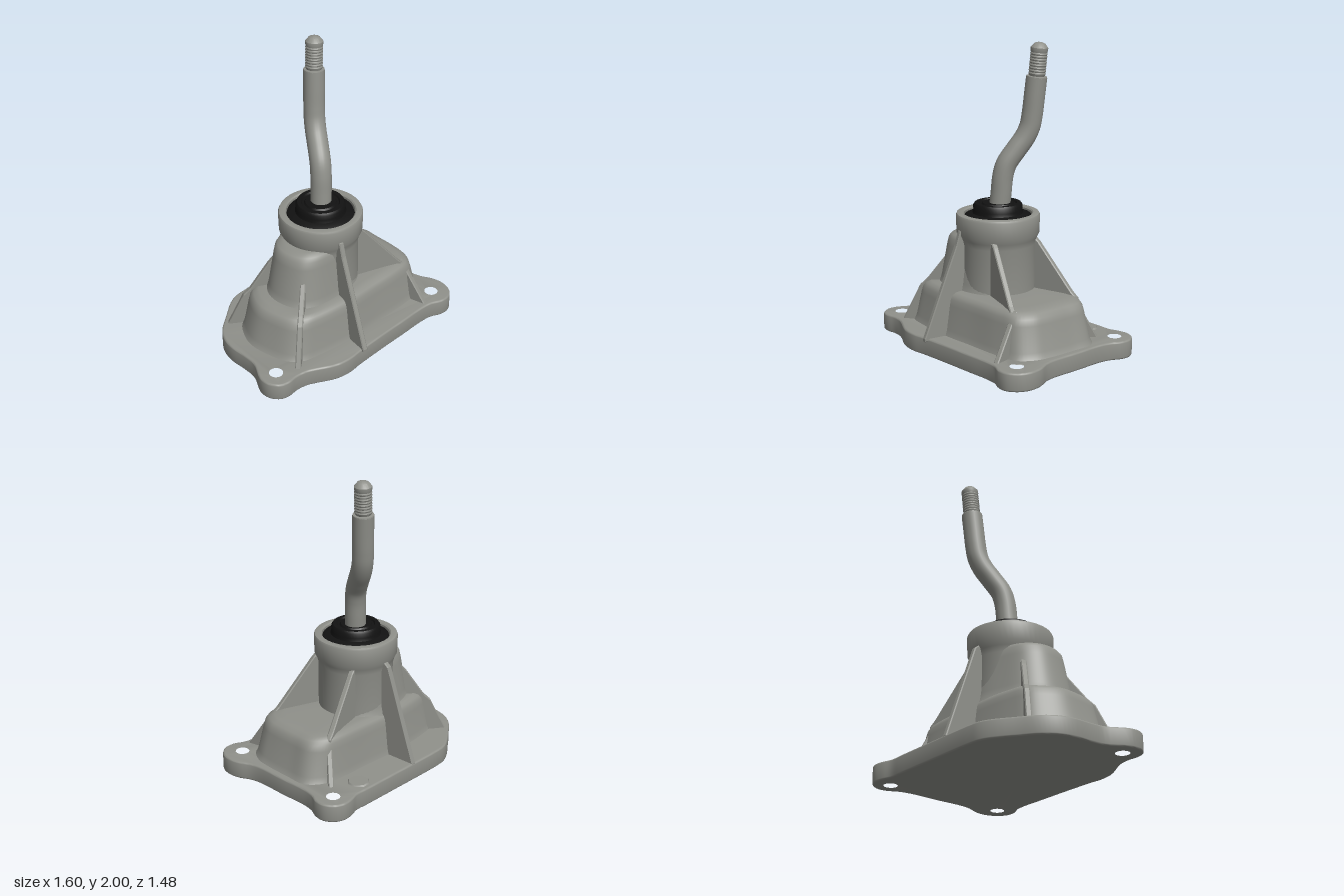
import * as THREE from 'three';
import { toCreasedNormals } from 'three/addons/utils/BufferGeometryUtils.js';

const metal = new THREE.MeshStandardMaterial({ color: 0x8f908a });
metal.name = 'grey metal';
const rubber = new THREE.MeshStandardMaterial({ color: 0x121212 });
rubber.name = 'black rubber';

const AXIS_X = -0.095, AXIS_Z = 0.05; // centre of the collar

function smoothLoop(points, samples) {
  const curve = new THREE.CatmullRomCurve3(
    points.map(([x, z]) => new THREE.Vector3(x, 0, z)), true, 'centripetal');
  return curve.getPoints(samples).slice(0, -1);
}

// Tapered solid: one outline, scaled about (cx, cz) at each [height, scale]
function loft(points, cx, cz, levels) {
  const ring = smoothLoop(points, 96), n = ring.length;
  const pos = [], index = [];
  for (const [y, s] of levels)
    for (const p of ring) pos.push(cx + (p.x - cx) * s, y, cz + (p.z - cz) * s);
  const top = (levels.length - 1) * n;
  pos.push(cx, levels[levels.length - 1][0], cz);
  for (let i = 0; i < n; i++) {
    const k = (i + 1) % n;
    for (let j = 0; j < levels.length - 1; j++) {
      const a = j * n + i, b = j * n + k;
      index.push(a, a + n, b, b, a + n, b + n);
    }
    index.push(pos.length / 3 - 1, top + k, top + i);
  }
  const g = new THREE.BufferGeometry();
  g.setAttribute('position', new THREE.Float32BufferAttribute(pos, 3));
  g.setIndex(index);
  return toCreasedNormals(g, 0.7);
}

function lathe(profile, segments = 48) {
  const g = new THREE.LatheGeometry(profile.map(([r, y]) => new THREE.Vector2(r, y)), segments);
  return toCreasedNormals(g, 0.6);
}

// Upright web from [x, z] to [x, z]; profile lists [fraction along, height]
function ribGeometry([x0, z0], [x1, z1], profile, thickness = 0.036) {
  const length = Math.hypot(x1 - x0, z1 - z0);
  const shape = new THREE.Shape();
  shape.moveTo(0, 0.1);
  shape.lineTo(length, 0.1);
  [...profile].reverse().forEach(([t, y]) => shape.lineTo(t * length, y));
  const g = new THREE.ExtrudeGeometry(shape, {
    depth: thickness - 0.012, bevelThickness: 0.006, bevelSize: 0.006, bevelOffset: -0.006, bevelSegments: 1,
  });
  g.translate(0, 0, -(thickness - 0.012) / 2);
  g.rotateY(Math.atan2(z0 - z1, x1 - x0));
  g.translate(x0, 0, z0);
  return g;
}

export function createModel() {
  const model = new THREE.Group();
  model.name = 'leverHousing';
  const add = (name, geometry, material = metal) => {
    const mesh = new THREE.Mesh(geometry, material);
    mesh.name = name;
    model.add(mesh);
    return mesh;
  };

  // Flange with three bolt ears
  const outline = [
    [-0.55, -0.29], [-0.45, -0.345], [-0.2, -0.475], [0.05, -0.605], [0.14, -0.65], [0.19, -0.7],
    [0.25, -0.738], [0.32, -0.74], [0.38, -0.705], [0.41, -0.64], [0.412, -0.57], [0.435, -0.49],
    [0.53, -0.31], [0.62, -0.13], [0.665, -0.07], [0.74, -0.01], [0.787, 0.06], [0.798, 0.14],
    [0.765, 0.215], [0.7, 0.25], [0.62, 0.255], [0.53, 0.29], [0.4, 0.36], [0.2, 0.465],
    [0, 0.575], [-0.09, 0.63], [-0.19, 0.66], [-0.38, 0.66], [-0.46, 0.685], [-0.52, 0.722],
    [-0.58, 0.735], [-0.65, 0.7], [-0.685, 0.63], [-0.685, 0.48], [-0.72, 0.39], [-0.78, 0.27],
    [-0.8, 0.17], [-0.785, 0.07], [-0.73, -0.05], [-0.66, -0.19], [-0.61, -0.25],
  ];
  const plate = new THREE.Shape(smoothLoop(outline, 160).map(p => new THREE.Vector2(p.x, -p.z)));
  for (const [x, z] of [[0.29, -0.63], [0.67, 0.125], [-0.575, 0.61]]) {
    const hole = new THREE.Path();
    hole.absarc(x, -z, 0.057, 0, Math.PI * 2, true);
    plate.holes.push(hole);
  }
  const flange = new THREE.ExtrudeGeometry(plate, {
    depth: 0.096, bevelThickness: 0.012, bevelSize: 0.012, bevelOffset: -0.012, bevelSegments: 3, curveSegments: 16,
  });
  flange.rotateX(-Math.PI / 2);
  flange.translate(0, 0.012, 0);
  add('flange', toCreasedNormals(flange, 0.6));

  // Low pad on the flange
  const pad = new THREE.CylinderGeometry(0.065, 0.075, 0.012, 8);
  pad.rotateY(0.1);
  add('flangePad', pad).position.set(0.08, 0.123, -0.51);

  // Wide lower housing
  add('lowerHousing', loft([
    [0.2, -0.43], [0.3, -0.455], [0.41, -0.42], [0.48, -0.29], [0.56, -0.12], [0.59, -0.02], [0.57, 0.1],
    [0.45, 0.19], [0.22, 0.31], [0, 0.425], [-0.25, 0.52], [-0.38, 0.55], [-0.47, 0.52], [-0.57, 0.41],
    [-0.64, 0.29], [-0.655, 0.17], [-0.63, 0.05], [-0.52, -0.05], [-0.3, -0.19], [-0.05, -0.31],
  ], -0.05, 0.03, [[0.1, 1.04], [0.125, 1.01], [0.16, 0.985], [0.32, 0.925], [0.36, 0.905],
    [0.385, 0.87], [0.4, 0.81], [0.405, 0.7]]));

  // Stepped middle housing, bulging to one side
  add('middleHousing', loft([
    [-0.05, -0.19], [0.08, -0.11], [0.14, 0.03], [0.12, 0.16], [0.05, 0.25], [-0.08, 0.33], [-0.24, 0.39],
    [-0.34, 0.38], [-0.43, 0.3], [-0.48, 0.18], [-0.46, 0.06], [-0.36, -0.06], [-0.2, -0.18],
  ], AXIS_X, AXIS_Z, [[0.37, 1.08], [0.4, 1.02], [0.45, 0.98], [0.66, 0.88], [0.71, 0.85],
    [0.735, 0.8], [0.75, 0.68]]));

  // Collar with open bore
  add('collar', lathe([
    [0.245, 0.36], [0.245, 0.7], [0.255, 0.74], [0.27, 0.77], [0.274, 0.885], [0.268, 0.898],
    [0.258, 0.902], [0.23, 0.902], [0.222, 0.894], [0.22, 0.78],
  ])).position.set(AXIS_X, 0, AXIS_Z);

  // Stiffening ribs
  const ribs = [
    ['frontRib', [-0.065, 0.25], [0.035, 0.575], [[0, 0.84], [0.22, 0.8], [0.3, 0.71], [1, 0.12]]],
    ['frontRightRib', [-0.26, 0.24], [-0.435, 0.62], [[0, 0.72], [0.25, 0.6], [0.6, 0.41], [0.72, 0.36], [1, 0.12]]],
    ['rightRib', [-0.35, 0.07], [-0.73, 0.02], [[0, 0.7], [0.28, 0.57], [0.6, 0.385], [0.72, 0.34], [1, 0.12]]],
    ['backRightRib', [-0.19, -0.13], [-0.34, -0.4], [[0, 0.82], [0.3, 0.74], [1, 0.12]]],
    ['backRib', [-0.04, -0.13], [0.245, -0.39], [[0, 0.8], [0.25, 0.72], [0.9, 0.42], [1, 0.385]]],
    ['backCornerRib', [0.23, -0.36], [0.265, -0.52], [[0, 0.4], [0.15, 0.37], [1, 0.12]]],
    ['leftRib', [0.1, 0.14], [0.475, 0.09], [[0, 0.8], [0.2, 0.73], [0.88, 0.42], [1, 0.38]]],
    ['leftCornerRib', [0.46, 0.08], [0.585, 0.235], [[0, 0.4], [0.15, 0.37], [1, 0.12]]],
  ];
  for (const [name, from, to, profile] of ribs) add(name, ribGeometry(from, to, profile));

  // Rubber boot with stepped folds
  add('boot', lathe([
    [0.222, 0.86], [0.215, 0.885], [0.19, 0.895], [0.165, 0.9], [0.16, 0.92], [0.16, 0.95], [0.15, 0.965],
    [0.125, 0.966], [0.118, 0.955], [0.105, 0.955], [0.098, 0.966], [0, 0.966],
  ]), rubber).position.set(AXIS_X, 0, AXIS_Z);

  // Bent lever rod
  const path = new THREE.CatmullRomCurve3([
    [-0.092, 0.86, 0.047], [-0.085, 1.02, 0.032], [-0.081, 1.14, 0.02], [-0.078, 1.22, -0.003],
    [-0.073, 1.31, -0.065], [-0.069, 1.39, -0.123], [-0.066, 1.46, -0.155], [-0.063, 1.54, -0.17],
    [-0.058, 1.66, -0.183], [-0.054, 1.78, -0.196],
  ].map(p => new THREE.Vector3(...p)));
  add('leverRod', new THREE.TubeGeometry(path, 48, 0.068, 24, false));

  // Threaded tip with shoulder and chamfered end
  const tip = [[0.068, -0.005], [0.066, 0.004], [0.05, 0.006]];
  for (let i = 0; i < 8; i++) tip.push([0.056, 0.022 + i * 0.018], [0.0525, 0.031 + i * 0.018]);
  tip.push([0.056, 0.17], [0.056, 0.187], [0.035, 0.213], [0.015, 0.22], [0, 0.221]);
  const tipMesh = add('threadedTip', lathe(tip, 28));
  tipMesh.position.copy(path.getPoint(1));
  tipMesh.quaternion.setFromUnitVectors(
    new THREE.Vector3(0, 1, 0), new THREE.Vector3(0.01, 0.22, -0.018).normalize());

  return model;
}
